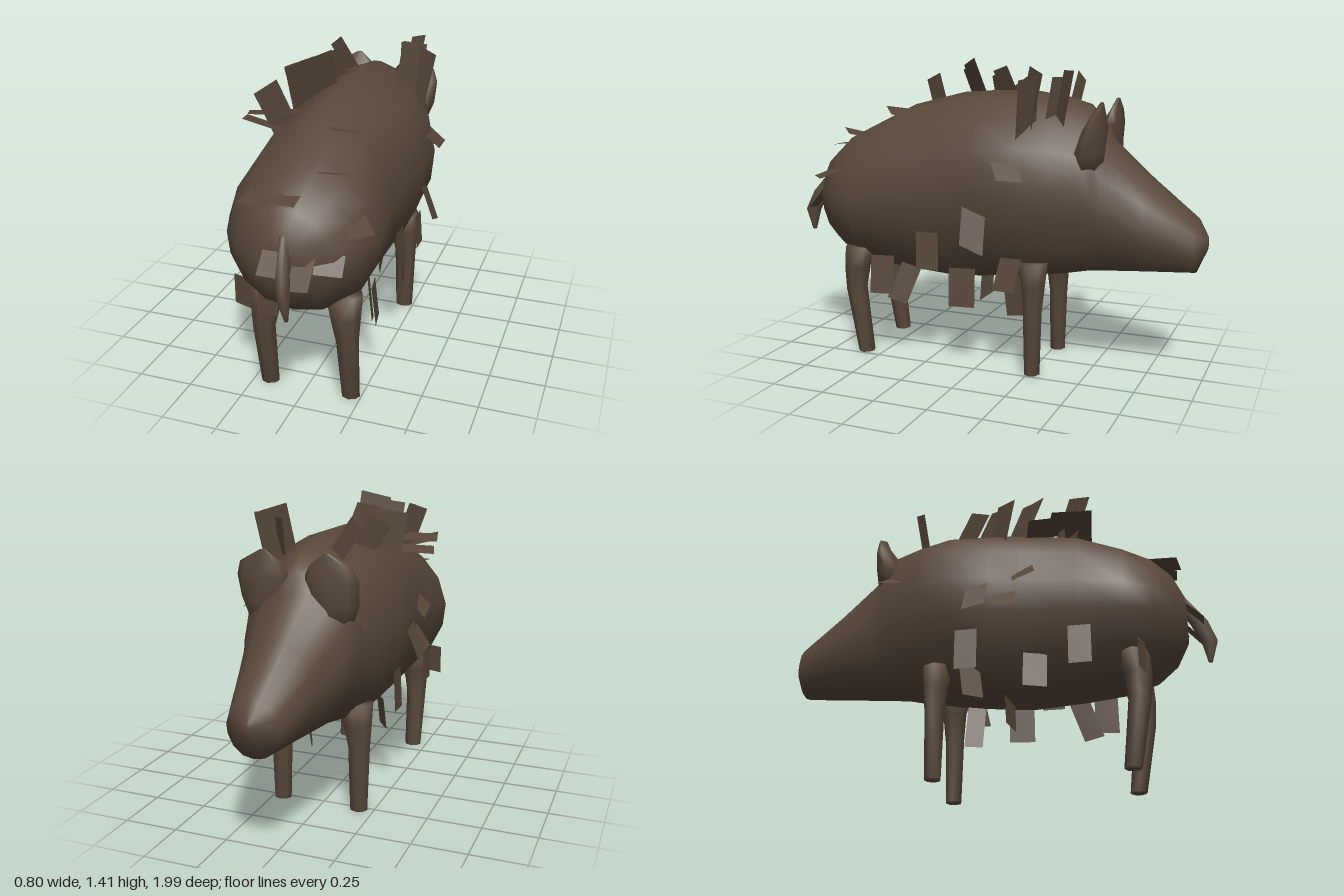
import * as THREE from 'three';

const hide = new THREE.MeshStandardMaterial({ color: 0x57473a });
const tuftHide = hide.clone();
tuftHide.side = THREE.DoubleSide;
hide.name = 'brown hide';
tuftHide.name = 'brown hide tufts';

// Skin a list of rings, each a closed loop of [x, y, z] points
function loft(rings) {
  const n = rings[0].length, index = [];
  for (let i = 0; i < rings.length - 1; i++) {
    for (let j = 0; j < n; j++) {
      const a = i * n + j, b = i * n + (j + 1) % n;
      index.push(a, b, b + n, a, b + n, a + n);
    }
  }
  const pts = rings.flat();
  // close both ends with a fan to the ring centre
  [0, rings.length - 1].forEach((r) => {
    const c = [0, 1, 2].map((k) => rings[r].reduce((s, p) => s + p[k], 0) / n);
    const ci = pts.push(c) - 1;
    for (let j = 0; j < n; j++) {
      const a = r * n + j, b = r * n + (j + 1) % n;
      if (r === 0) index.push(ci, b, a);
      else index.push(ci, a, b);
    }
  });
  const g = new THREE.BufferGeometry();
  g.setAttribute('position', new THREE.Float32BufferAttribute(pts.flat(), 3));
  g.setIndex(index);
  g.computeVertexNormals();
  return g;
}

// Limb built upward from rows of [x, y, z, radiusX, radiusZ]
function limb(rows, sides = 8) {
  return loft(rows.map(([x, y, z, rx, rz]) => Array.from({ length: sides }, (_, i) => {
    const t = (i / sides) * Math.PI * 2;
    return [x + rx * Math.cos(t), y, z - rz * Math.sin(t)];
  })));
}

// Bristle tuft: a flat plate from base to tip, width vector across
function tuft(base, tip, across) {
  const b = new THREE.Vector3(...base), t = new THREE.Vector3(...tip);
  const w = new THREE.Vector3(...across).multiplyScalar(0.5);
  const corners = [b.clone().sub(w), b.clone().add(w), t.clone().add(w), t.clone().sub(w)];
  const g = new THREE.BufferGeometry().setFromPoints(corners);
  g.setIndex([0, 1, 2, 0, 2, 3]);
  g.computeVertexNormals();
  return g;
}

export function createModel() {
  const model = new THREE.Group();
  const add = (name, geometry, material = hide) => {
    const mesh = new THREE.Mesh(geometry, material);
    mesh.name = name;
    model.add(mesh);
    return mesh;
  };

  // Body and head: half profiles (bottom to top) scaled along z;
  // the shoulders carry a narrow raised ridge that fades into the round rump
  const lower = [[0, 0], [0.42, 0.04], [0.76, 0.18], [0.96, 0.38], [1, 0.55]];
  const ridged = [...lower, [0.9, 0.73], [0.68, 0.86], [0.25, 0.965], [0, 1]];
  const round = [...lower, [0.87, 0.75], [0.62, 0.9], [0.24, 0.985], [0, 1]];
  const sections = [ // z, bottom, top, half width
    [-1, 0.6, 0.66, 0.02], [-0.955, 0.495, 0.735, 0.115], [-0.75, 0.48, 0.9, 0.175],
    [-0.57, 0.465, 1.06, 0.23], [-0.53, 0.46, 1.15, 0.245], [-0.47, 0.455, 1.215, 0.265],
    [-0.35, 0.43, 1.25, 0.3], [-0.2, 0.41, 1.27, 0.35], [0.0, 0.385, 1.265, 0.345],
    [0.14, 0.37, 1.255, 0.325], [0.4, 0.39, 1.19, 0.325], [0.6, 0.42, 1.09, 0.335],
    [0.72, 0.46, 1.03, 0.29], [0.81, 0.53, 0.95, 0.21], [0.865, 0.63, 0.84, 0.11]];
  add('body', loft(sections.map(([z, y0, y1, w]) => {
    const half = z > -0.55 && z < 0.35 ? ridged : round;
    const outline = [...half, ...half.slice(1, -1).reverse().map(([u, v]) => [-u, v])];
    return outline.map(([u, v]) => [u * w, y0 + v * (y1 - y0), z]);
  })));

  // Legs and broad upright ears, mirrored
  const frontLeg = limb([[0.19, 0, -0.265, 0.042, 0.037], [0.19, 0.3, -0.265, 0.052, 0.045],
    [0.18, 0.42, -0.265, 0.07, 0.056], [0.17, 0.52, -0.26, 0.085, 0.07]]);
  const hindLeg = limb([[0.19, 0, 0.59, 0.042, 0.038], [0.19, 0.31, 0.637, 0.052, 0.05],
    [0.18, 0.42, 0.635, 0.07, 0.06], [0.17, 0.52, 0.62, 0.085, 0.07]]);
  const ear = limb([[0.15, 0.93, -0.49, 0.08, 0.07], [0.16, 1.02, -0.505, 0.105, 0.068],
    [0.15, 1.12, -0.525, 0.122, 0.048], [0.155, 1.18, -0.54, 0.095, 0.022],
    [0.14, 1.235, -0.55, 0.012, 0.008]]);
  for (const s of [1, -1]) {
    const side = s > 0 ? 'left' : 'right';
    add(side + 'Ear', ear).scale.x = s;
    for (const [name, leg] of [['FrontLeg', frontLeg], ['HindLeg', hindLeg]]) {
      const mesh = add(side + name, leg);
      mesh.scale.x = s;
      mesh.position.x = 0.012;
    }
  }

  // Tail
  add('tail', limb([[0.065, 0.55, 0.955, 0.008, 0.01], [0.06, 0.65, 0.96, 0.026, 0.04],
    [0.04, 0.74, 0.92, 0.026, 0.045], [0.015, 0.86, 0.83, 0.015, 0.04]], 6));

  // Mane bristles: base, tip, width across
  const mane = [
    [[0.19, 1.08, -0.21], [0.22, 1.37, -0.28], [0.09, -0.03, -0.09]],
    [[0.24, 1.08, -0.24], [0.285, 1.34, -0.27], [0.09, -0.02, 0.06]],
    [[0.16, 1.1, -0.36], [0.2, 1.37, -0.42], [0.05, 0, -0.06]],
    [[0.15, 1.1, -0.33], [0.15, 1.34, -0.37], [0.06, 0, 0.06]],
    [[-0.07, 1.14, -0.1], [-0.12, 1.36, 0.02], [0.08, 0.03, -0.1]],
    [[-0.13, 1.12, -0.18], [-0.2, 1.3, -0.06], [0.06, 0.06, -0.1]],
    [[-0.1, 1.14, 0.07], [-0.1, 1.39, 0.17], [0.11, 0.04, -0.1]],
    [[-0.15, 1.12, 0.1], [-0.16, 1.36, 0.2], [0.11, 0.03, -0.1]],
    [[-0.2, 1.1, 0.02], [-0.22, 1.33, 0.07], [0.1, 0.03, -0.1]],
    [[-0.07, 1.14, -0.35], [-0.2, 1.33, -0.36], [0.06, 0.05, 0.02]],
    [[-0.17, 1.08, 0.33], [-0.23, 1.31, 0.42], [0.06, 0.04, -0.1]],
    [[-0.14, 1.12, 0.4], [-0.33, 1.17, 0.42], [0.03, 0.02, 0.12]],
    [[-0.12, 1.18, 0.3], [-0.34, 1.17, 0.36], [0.04, 0.02, 0.11]],
    [[-0.14, 1.14, 0.2], [-0.36, 1.13, 0.25], [0.03, 0.02, 0.1]],
    [[0.06, 1.15, 0.36], [0.15, 1.17, 0.47], [0.1, -0.03, -0.08]],
    [[0.1, 1.04, 0.6], [0.18, 1.07, 0.68], [0.08, -0.02, -0.07]],
  ];
  // Flank bristles
  const flank = [
    [[0.31, 1.0, -0.16], [0.38, 0.91, -0.22], [0, 0, 0.12]],
    [[0.345, 0.76, -0.04], [0.4, 0.6, -0.05], [0, 0.04, 0.11]],
    [[0.3, 0.64, 0.21], [0.32, 0.47, 0.2], [0, 0, 0.11]],
    [[0.28, 0.55, -0.19], [0.3, 0.4, -0.16], [0, 0, 0.1]],
    [[-0.33, 0.86, -0.04], [-0.4, 0.7, -0.05], [0, 0.02, 0.1]],
    [[-0.32, 0.8, 0.08], [-0.39, 0.7, 0.08], [0, 0, 0.1]],
    [[-0.3, 0.92, 0.15], [-0.36, 0.85, 0.17], [0, 0.04, 0.1]],
    [[-0.23, 0.97, -0.42], [-0.29, 0.92, -0.48], [0.02, 0, 0.1]],
    [[-0.29, 0.62, 0.4], [-0.3, 0.44, 0.4], [0, 0, 0.1]],
    [[-0.3, 0.64, -0.1], [-0.31, 0.45, -0.1], [0, 0, 0.1]],
  ];
  // Belly bristles
  const belly = [
    [[0.26, 0.5, 0.46], [0.28, 0.32, 0.46], [0.02, 0, 0.11]],
    [[0.2, 0.45, 0.34], [0.24, 0.28, 0.4], [0.02, 0.03, 0.09]],
    [[0.14, 0.46, -0.14], [0.1, 0.23, -0.15], [0.03, 0, 0.08]],
    [[0.27, 0.48, 0.05], [0.28, 0.3, 0.05], [0.02, 0, 0.12]],
    [[-0.05, 0.44, 0.05], [-0.02, 0.27, 0.05], [0.09, -0.02, 0.03]],
    [[-0.25, 0.52, 0.2], [-0.27, 0.36, 0.2], [0.04, 0, 0.1]],
    [[-0.22, 0.5, -0.1], [-0.23, 0.35, -0.08], [0.06, 0, 0.08]],
  ];
  // Rump bristles
  const rump = [
    [[0.1, 0.8, 0.82], [0.1, 0.67, 0.93], [0.09, 0.01, 0]],
    [[0.19, 0.78, 0.79], [0.2, 0.72, 0.86], [0.11, -0.01, -0.03]],
    [[-0.08, 0.58, 0.79], [-0.09, 0.46, 0.79], [0.09, 0, 0]],
    [[-0.02, 0.86, 0.8], [-0.02, 0.72, 0.94], [0.09, 0, 0]],
    [[-0.11, 0.98, 0.72], [-0.12, 0.97, 0.85], [0.12, 0, 0.02]],
    [[0.0, 1.0, 0.7], [0.01, 0.98, 0.84], [0.1, 0, 0]],
    [[0.24, 0.9, 0.68], [0.31, 0.86, 0.77], [0.08, 0, -0.08]],
    [[-0.26, 0.54, 0.66], [-0.26, 0.4, 0.66], [0.09, 0, 0.03]],
  ];
  for (const [name, list] of Object.entries({ mane, flank, belly, rump })) {
    list.forEach((p) => add(name + 'Bristle', tuft(...p), tuftHide));
  }
  return model;
}
